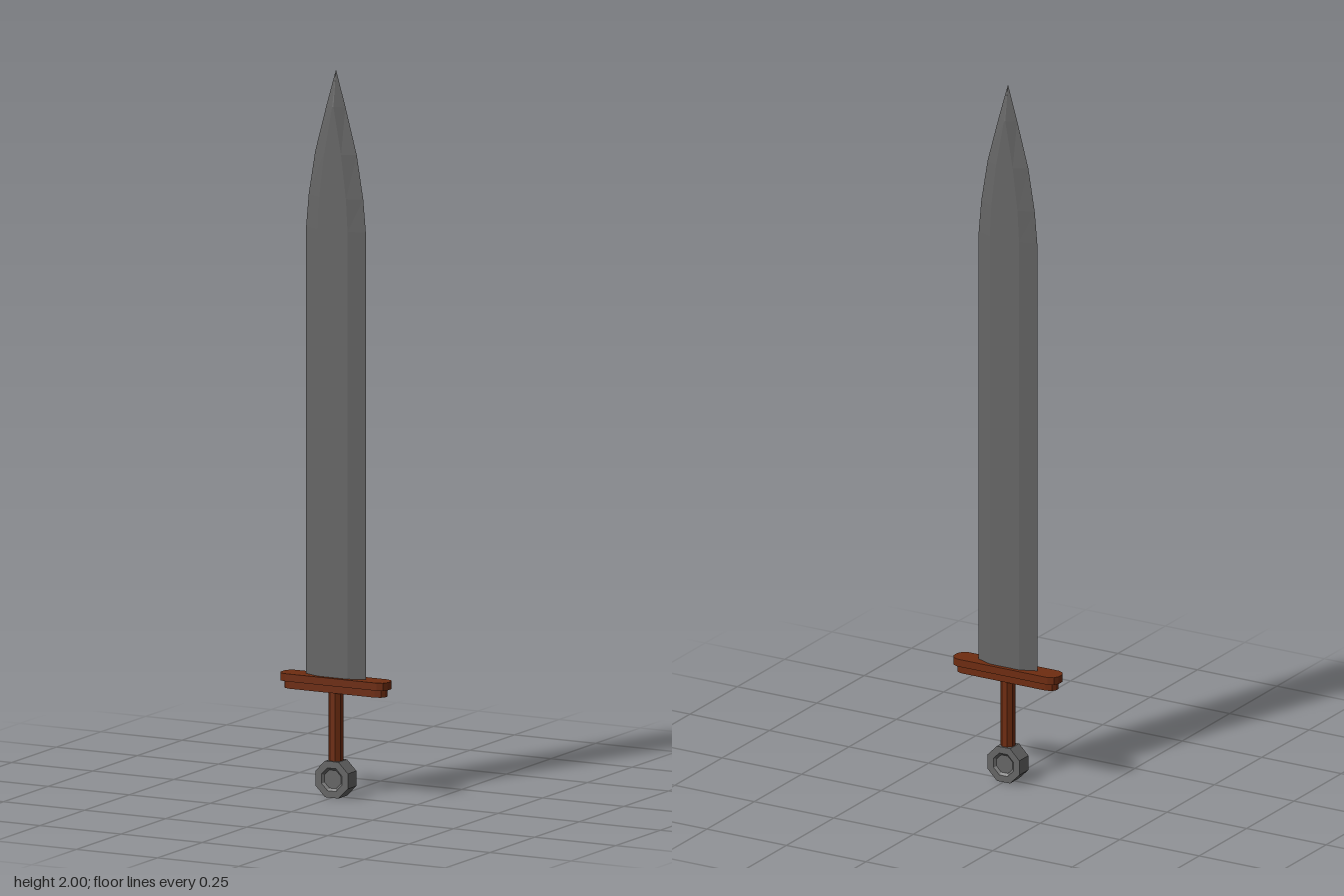
import * as THREE from 'three';

const steel = new THREE.MeshStandardMaterial({ color: 0x666666, flatShading: true });
steel.name = 'steel';
const wood = new THREE.MeshStandardMaterial({ color: 0x6e2c10, flatShading: true });
wood.name = 'brown';

// Skins stacked hexagonal sections: [y, half width, half width of the flat, half thickness]
function bladeGeometry(sections) {
  const rings = sections.map(([y, w, f, t]) =>
    [[w, 0], [f, t], [-f, t], [-w, 0], [-f, -t], [f, -t]].map(([x, z]) => [x, y, z]));
  const pos = [];
  const tri = (...corners) => corners.forEach((p) => pos.push(...p));
  for (let r = 0; r < rings.length - 1; r++) {
    for (let i = 0; i < 6; i++) {
      const j = (i + 1) % 6;
      const a = rings[r][i], b = rings[r][j], c = rings[r + 1][j], d = rings[r + 1][i];
      tri(a, d, b);
      tri(b, d, c);
    }
  }
  // Bottom cap
  for (let i = 1; i < 5; i++) tri(rings[0][0], rings[0][i], rings[0][i + 1]);
  const g = new THREE.BufferGeometry();
  g.setAttribute('position', new THREE.Float32BufferAttribute(pos, 3));
  g.computeVertexNormals();
  return g;
}

// Flat bar with faceted ends, lying in the xz plane
function barGeometry(halfLength, halfDepth, y0, y1) {
  const quarter = [
    [halfLength, halfDepth * 0.32],
    [halfLength - 0.007, halfDepth * 0.76],
    [halfLength - 0.023, halfDepth],
  ];
  const back = [...quarter].reverse();
  const outline = [
    ...quarter,
    ...back.map(([x, z]) => [-x, z]),
    ...quarter.map(([x, z]) => [-x, -z]),
    ...back.map(([x, z]) => [x, -z]),
  ].map(([x, z]) => new THREE.Vector2(x, z));
  const g = new THREE.ExtrudeGeometry(new THREE.Shape(outline), { depth: y1 - y0, bevelEnabled: false });
  return g.rotateX(-Math.PI / 2).translate(0, y0, 0);
}

export function createModel() {
  const sword = new THREE.Group();
  sword.name = 'sword';
  const add = (name, geometry, material) => {
    const mesh = new THREE.Mesh(geometry, material);
    mesh.name = name;
    sword.add(mesh);
  };

  // Blade with bevelled edges, curving in to a point
  add('blade', bladeGeometry([
    [0.325, 0.092, 0.046, 0.019],
    [1.56, 0.092, 0.046, 0.019],
    [1.65, 0.084, 0.041, 0.019],
    [1.77, 0.064, 0.026, 0.019],
    [1.9, 0.029, 0.002, 0.018],
    [2.0, 0, 0, 0],
  ]), steel);

  // Two-layer crossguard
  add('guardUpper', barGeometry(0.165, 0.031, 0.309, 0.33), wood);
  add('guardLower', barGeometry(0.155, 0.023, 0.288, 0.309), wood);

  // Grip
  add('grip', new THREE.CylinderGeometry(0.02, 0.02, 0.2, 8)
    .rotateY(Math.PI / 8).translate(0, 0.19, 0), wood);

  // Eight-sided pommel with a shallow dish in each face
  const half = [[0, 0.018], [0.027, 0.018], [0.034, 0.024], [0.054, 0.024]];
  const profile = [...half.map(([r, h]) => [r, -h]), ...half.reverse()]
    .map(([r, h]) => new THREE.Vector2(r, h));
  add('pommel', new THREE.LatheGeometry(profile, 8)
    .rotateY(Math.PI / 8).rotateX(Math.PI / 2).translate(0, 0.05, 0), steel);

  return sword;
}
